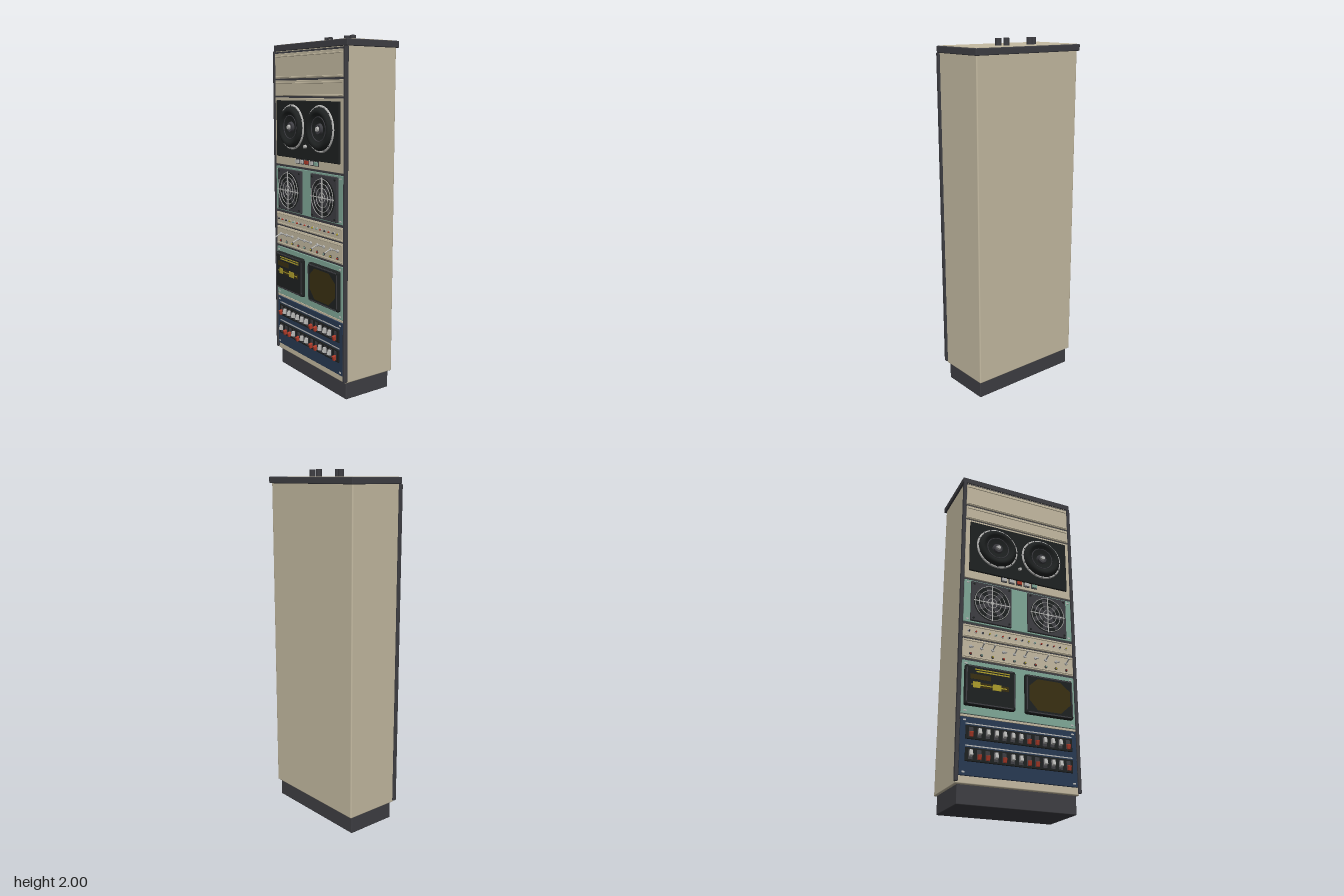
import * as THREE from 'three';
import { RoundedBoxGeometry } from 'three/addons/geometries/RoundedBoxGeometry.js';

const mat = (name, color) => new THREE.MeshStandardMaterial({ name, color });

export function createModel() {
  const M = {
    beige: mat('beige', 0xc6bca3), charcoal: mat('charcoal', 0x3f3f44), black: mat('black', 0x1f2222),
    teal: mat('teal', 0x82aa9a), navy: mat('navy', 0x283a54), silver: mat('silver', 0xbcbcba),
    red: mat('red', 0xb03c2a), olive: mat('olive', 0x3a3112), yellow: mat('yellow', 0xb0a02c),
  };
  M.olive.side = THREE.DoubleSide;
  const root = new THREE.Group();
  root.name = 'equipmentRack';

  const add = (name, geo, m, x, y, z, parent = root) => {
    const mesh = new THREE.Mesh(geo, m);
    mesh.name = name;
    mesh.position.set(x, y, z);
    parent.add(mesh);
    return mesh;
  };
  // box given by its limits on each axis
  const box = (name, m, x0, x1, y0, y1, z0, z1, r = 0) => {
    const s = [x1 - x0, y1 - y0, z1 - z0];
    const geo = r ? new RoundedBoxGeometry(...s, 2, r) : new THREE.BoxGeometry(...s);
    return add(name, geo, m, (x0 + x1) / 2, (y0 + y1) / 2, (z0 + z1) / 2);
  };
  // cylinder pointing at the front
  const knob = (name, m, x, y, z0, z1, r, r2 = r, seg = 12) => {
    const geo = new THREE.CylinderGeometry(r2, r, z1 - z0, seg).rotateX(Math.PI / 2);
    return add(name, geo, m, x, y, (z0 + z1) / 2);
  };
  const group = (name, x, y, z) => {
    const g = new THREE.Group();
    g.name = name;
    g.position.set(x, y, z);
    root.add(g);
    return g;
  };

  // cabinet
  box('plinth', M.charcoal, -0.337, 0.337, 0, 0.105, -0.172, 0.13, 0.005);
  box('cabinet', M.beige, -0.349, 0.349, 0.1, 1.93, -0.189, 0.145, 0.007);
  box('lid', M.charcoal, -0.36, 0.36, 1.924, 1.96, -0.2, 0.149, 0.004);
  box('lidPanel', M.beige, -0.348, 0.348, 1.955, 1.962, -0.188, 0.135);
  for (const x of [-0.125, -0.1, 0.063, 0.118])
    add('topPeg', new THREE.CylinderGeometry(0.0165, 0.0165, 0.045, 16), M.charcoal, x, 1.9775, -0.073);
  for (const s of [-1, 1])
    box('frontRail', M.charcoal, s * 0.349 - 0.009, s * 0.349 + 0.009, 0.11, 1.924, 0.135, 0.158, 0.004);
  box('panelBacking', M.charcoal, -0.34, 0.34, 0.145, 1.92, 0.14, 0.1475);

  // front panels: bottom, top, colour
  const panels = [
    ['upperBlankPanel', 1.767, 1.91, M.beige], ['lowerBlankPanel', 1.668, 1.756, M.beige],
    ['reelPanel', 1.268, 1.658, M.beige], ['fanPanel', 0.992, 1.255, M.teal],
    ['lampPanel', 0.9, 0.976, M.beige], ['togglePanel', 0.776, 0.89, M.beige],
    ['screenPanel', 0.463, 0.762, M.teal], ['switchPanel', 0.141, 0.446, M.navy],
  ];
  for (const [name, y0, y1, m] of panels) {
    box(name, m, -0.336, 0.336, y0, y1, 0.14, 0.155, 0.002);
    if (m !== M.beige)
      for (const x of [-0.315, 0.315]) for (const y of [y0 + 0.017, y1 - 0.017])
        box('panelScrew', M.silver, x - 0.008, x + 0.008, y - 0.004, y + 0.004, 0.153, 0.158);
  }
  box('panelSeam', M.beige, -0.336, 0.336, 0.449, 0.46, 0.14, 0.153);
  for (const y of [1.893, 1.775, 1.741, 1.676, 0.968, 0.908, 0.881, 0.786])
    box('panelLip', M.beige, -0.33, 0.33, y - 0.004, y + 0.004, 0.15, 0.159, 0.002);

  // twin reels
  box('reelDeck', M.black, -0.312, 0.312, 1.316, 1.643, 0.15, 0.165, 0.004);
  const dish = [[0.12, 0], [0.117, 0.014], [0.108, 0.026], [0.096, 0.03], [0.084, 0.026], [0.074, 0.015],
    [0.064, 0.014], [0.036, 0.005], [0, 0.005]].map(p => new THREE.Vector2(...p));
  for (const x of [-0.143, 0.143]) {
    const g = group('reel', x, 1.493, 0.163);
    add('reelRing', new THREE.TorusGeometry(0.122, 0.007, 8, 48), M.silver, 0, 0, 0.003, g);
    // the profile runs inward, so it is flipped to keep its outside showing
    const geo = new THREE.LatheGeometry(dish.slice().reverse(), 40).rotateX(Math.PI / 2);
    const m = add('reelDish', geo, M.black, 0, 0, 0, g);
    m.material = M.blackOpen ??= Object.assign(M.black, { side: THREE.DoubleSide });
    add('reelGroove', new THREE.TorusGeometry(0.066, 0.003, 6, 40), M.charcoal, 0, 0, 0.015, g);
    add('reelHub', new THREE.CylinderGeometry(0.027, 0.032, 0.016, 20).rotateX(Math.PI / 2), M.charcoal, 0, 0, 0.011, g);
    add('hubCap', new THREE.CylinderGeometry(0.012, 0.016, 0.014, 6).rotateX(Math.PI / 2), M.silver, 0, 0, 0.024, g);
    for (let i = 0; i < 16; i++) {
      const a = i / 16 * Math.PI * 2;
      add('ringBolt', new THREE.BoxGeometry(0.006, 0.006, 0.006), M.charcoal,
        Math.cos(a) * 0.122, Math.sin(a) * 0.122, 0.009, g);
    }
  }
  knob('deckKnob', M.silver, 0, 1.39, 0.16, 0.178, 0.011, 0.009);
  [M.silver, M.silver, M.red, M.silver, M.teal].forEach((m, i) => {
    const x = (i - 2) * 0.0478;
    box('buttonFrame', M.charcoal, x - 0.018, x + 0.018, 1.286, 1.315, 0.15, 0.158);
    box('deckButton', m, x - 0.014, x + 0.014, 1.291, 1.31, 0.15, 0.168);
  });

  // cooling fans
  for (const x of [-0.175, 0.173]) {
    box('fanHousing', M.charcoal, x - 0.123, x + 0.123, 1.0, 1.245, 0.15, 0.168, 0.003);
    knob('fanOpening', M.black, x, 1.122, 0.16, 0.169, 0.108, 0.108, 32);
    knob('fanHub', M.charcoal, x, 1.122, 0.16, 0.172, 0.032, 0.032, 20);
    const g = group('fanGuard', x, 1.122, 0.177);
    for (let i = 0; i < 7; i++) {
      const blade = add('fanBlade', new THREE.BoxGeometry(0.07, 0.028, 0.002), M.charcoal, 0, 0, -0.006, g);
      blade.geometry.translate(0.062, 0, 0).rotateZ(i / 7 * Math.PI * 2);
    }
    for (const r of [0.028, 0.054, 0.079, 0.104])
      add('guardRing', new THREE.TorusGeometry(r, 0.002, 5, 32), M.silver, 0, 0, 0, g);
    for (const a of [0, Math.PI / 2])
      add('guardBar', new THREE.BoxGeometry(0.222, 0.005, 0.004), M.silver, 0, 0, 0, g).rotation.z = a;
    add('guardCentre', new THREE.CylinderGeometry(0.01, 0.01, 0.006, 12).rotateX(Math.PI / 2), M.silver, 0, 0, 0, g);
    for (const sx of [-1, 1]) for (const sy of [-1, 1])
      knob('fanScrew', M.black, x + sx * 0.107, 1.122 + sy * 0.107, 0.16, 0.171, 0.006);
  }

  // indicator lamps
  const lampColours = [M.charcoal, M.red, M.teal, M.yellow, M.charcoal, M.red];
  for (let i = 0; i < 16; i++) {
    const x = -0.302 + i * 0.0397;
    knob('lampCollar', M.silver, x, 0.937, 0.15, 0.158, 0.0085);
    knob('lamp', lampColours[i * 5 % 6], x, 0.937, 0.15, 0.167, 0.006, 0.004);
  }

  // toggle switches, tilted up or down, each with a lamp below
  for (let i = 0; i < 10; i++) {
    const x = -0.291 + i * 0.0647;
    knob('toggleCollar', M.silver, x, 0.844, 0.15, 0.162, 0.011, 0.009, 6);
    const g = group('toggle', x, 0.844, 0.158);
    const lever = new THREE.CylinderGeometry(0.0045, 0.003, 0.042, 8).rotateX(Math.PI / 2).translate(0, 0, 0.02);
    add('toggleLever', lever, M.silver, 0, 0, 0, g);
    g.rotation.x = [1, -1, -1, 1, -1, -1, 1, -1, 1, -1][i] * 0.42;
    knob('toggleLampCollar', M.charcoal, x, 0.803, 0.15, 0.158, 0.0085);
    knob('toggleLamp', [M.red, M.teal, M.yellow][i % 3], x, 0.803, 0.15, 0.164, 0.006, 0.004);
  }

  // display screens
  for (const x of [-0.178, 0.172]) {
    box('screenFrame', M.black, x - 0.146, x + 0.146, 0.506, 0.734, 0.145, 0.176, 0.012);
    for (const s of [-1, 1]) {
      box('screenBezelEdge', M.charcoal, x - 0.13, x + 0.13, 0.62 + s * 0.104 - 0.003, 0.62 + s * 0.104 + 0.003, 0.17, 0.178);
      box('screenBezelSide', M.charcoal, x + s * 0.137 - 0.003, x + s * 0.137 + 0.003, 0.525, 0.715, 0.17, 0.178);
    }
  }
  const glow = [[-0.125, -0.035], [-0.075, -0.09], [0.065, -0.09], [0.125, -0.035],
    [0.125, 0.045], [0.065, 0.09], [-0.075, 0.09], [-0.125, 0.045]];
  add('scopeGlow', new THREE.ShapeGeometry(new THREE.Shape(glow.map(p => new THREE.Vector2(...p)))), M.olive, 0.172, 0.62, 0.1775);
  // width limits and height of the bright traces
  for (const [x0, x1, y0, y1, m] of [[-0.272, -0.07, 0.705, 0.711, M.yellow], [-0.262, -0.07, 0.692, 0.699, M.yellow],
    [-0.28, -0.24, 0.604, 0.638, M.yellow], [-0.168, -0.118, 0.604, 0.638, M.yellow], [-0.29, -0.085, 0.618, 0.624, M.yellow],
    [-0.235, -0.175, 0.607, 0.635, M.olive], [-0.115, -0.075, 0.607, 0.635, M.olive], [-0.295, -0.18, 0.652, 0.68, M.olive]])
    box('screenTrace', m, x0, x1, y0, y1, 0.172, m === M.yellow ? 0.1785 : 0.1775);

  // rocker switch banks: r is a red switch set down, w a pale one set up
  [[0.365, 'rwwwwwwrrwwwr'], [0.249, 'wrrwrwwrrwwwr']].forEach(([y, row]) => {
    box('switchBank', M.black, -0.308, 0.308, y - 0.036, y + 0.036, 0.15, 0.162, 0.003);
    box('bankLabelStrip', M.silver, -0.308, 0.308, y + 0.043, y + 0.049, 0.15, 0.157);
    [...row].forEach((c, i) => {
      const x = -0.28 + i * 0.0467, up = c === 'w';
      box('rockerSlot', M.charcoal, x - 0.012, x + 0.012, y - 0.026, y + 0.026, 0.155, 0.164);
      const lever = box('rocker', up ? M.silver : M.red, x - 0.0085, x + 0.0085,
        y + (up ? -0.012 : -0.026), y + (up ? 0.02 : 0.002), 0.155, 0.181, 0.003);
      lever.rotation.x = up ? -0.25 : 0.25;
    });
  });
  return root;
}
